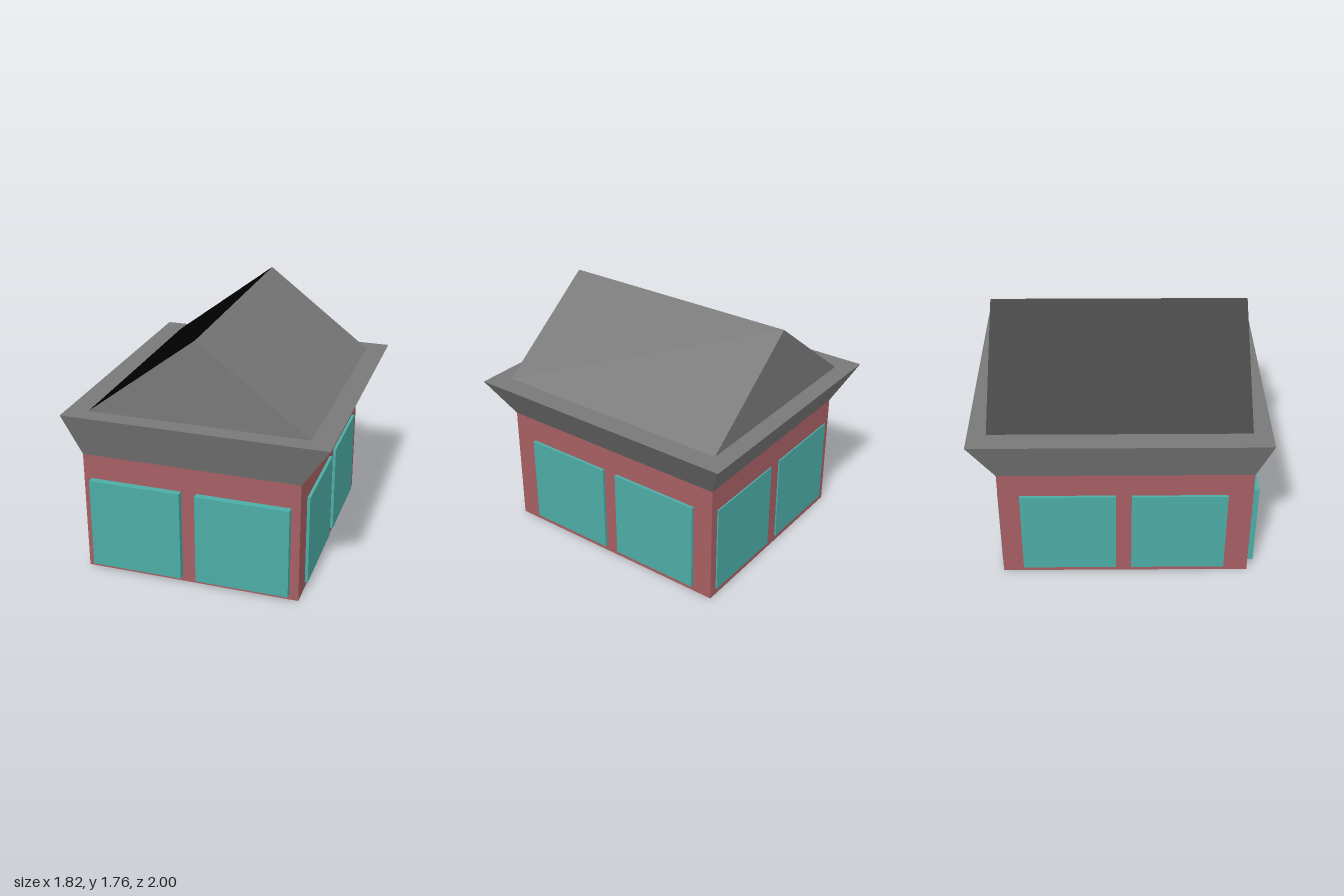
import * as THREE from 'three';

const paint = (color) => new THREE.MeshStandardMaterial({ color });

// Six-sided solid between a bottom and a top rectangle, each [x0, x1, z0, z1]
function frustum(name, bottom, top, y0, y1, material) {
  const geo = new THREE.BoxGeometry(1, 1, 1);
  const p = geo.attributes.position;
  for (let i = 0; i < p.count; i++) {
    const up = p.getY(i) > 0;
    const r = up ? top : bottom;
    p.setXYZ(i, r[p.getX(i) > 0 ? 1 : 0], up ? y1 : y0, r[p.getZ(i) > 0 ? 3 : 2]);
  }
  geo.computeVertexNormals();
  const mesh = new THREE.Mesh(geo, material);
  mesh.name = name;
  return mesh;
}

export function createModel() {
  const group = new THREE.Group();
  group.name = 'house';
  const brick = paint(0xa65f63);
  const teal = paint(0x4caca6);
  const grey = paint(0x787878);
  const black = paint(0x000000);

  const [x0, x1, z0, z1] = [-0.81, 0.712, -0.828, 0.905];
  const plan = [x0, x1, z0, z1];
  const eaveY = 0.87, roofY = 1.18;

  // Walls and the flared eave with its flat top
  group.add(frustum('walls', plan, plan, 0, eaveY, brick));
  group.add(frustum('eave', plan, [-0.912, 0.912, -1, 1], eaveY, roofY, grey));

  // Gable roof: top edges meet in a ridge, the slope on -x is black
  group.add(frustum('gableRoof', [-0.763, 0.763, -0.875, 0.875], [0, 0, -0.875, 0.875],
    roofY, 1.76, [grey, black, grey, grey, grey, grey]));

  // Window panels, two on each wall, seated slightly in it
  const seat = 0.02;
  const panel = (name, rect) => group.add(frustum(name, rect, rect, 0.045, 0.695, teal));
  for (const [a, b] of [[-0.755, -0.107], [0, 0.65]]) {
    panel('frontWindow', [a, b, z1 - seat, 0.953]);
    panel('backWindow', [a, b, -0.838, z0 + seat]);
  }
  for (const [a, b] of [[-0.682, -0.027], [0.08, 0.735]]) {
    panel('leftWindow', [x1 - seat, 0.733, a, b]);
    panel('rightWindow', [-0.83, x0 + seat, a, b]);
  }
  return group;
}
